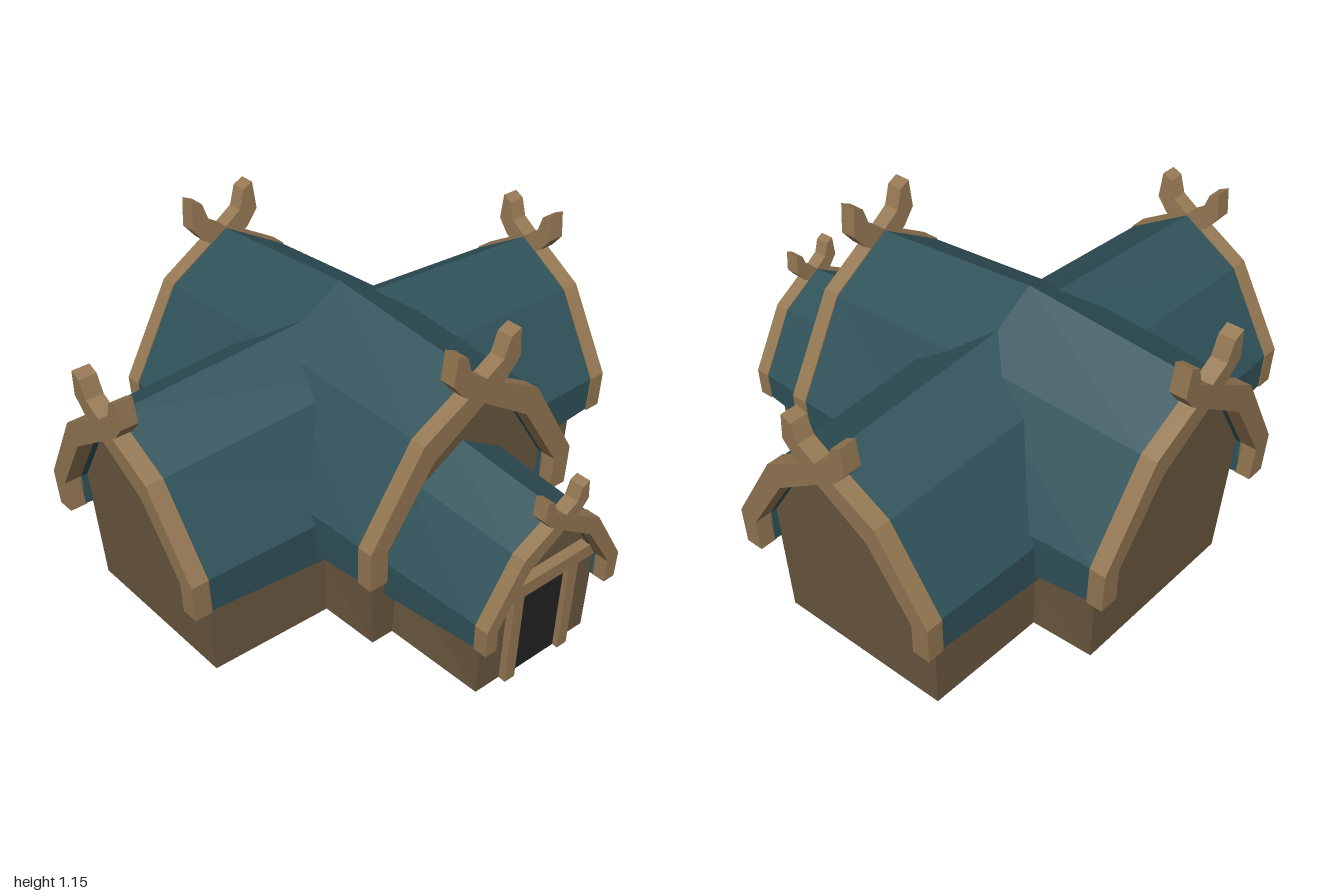
import * as THREE from 'three';

const mat = (name, color, extra = {}) => {
  const m = new THREE.MeshStandardMaterial({ color, ...extra });
  m.name = name;
  return m;
};

const LEAN = 0.055; // gable ends tip outward with height

// Half profiles, x outward and y above the eave, listed from eave to ridge
const ROOF_END = { outer: [[0.455, 0], [0.46, 0.15], [0.255, 0.49], [0, 0.64]], inner: [[0.385, 0], [0.39, 0.13], [0.21, 0.41], [0, 0.55]] };
const ROOF_MID = { outer: [[0.475, -0.06], [0.485, 0.155], [0.27, 0.53], [0, 0.695]], inner: [[0.4, -0.11], [0.405, 0.12], [0.225, 0.44], [0, 0.6]] };
// Curved gable board that crosses the ridge and ends in a horn
const BOARD = [
  [-0.137, 0.785], [-0.095, 0.765], [-0.07, 0.69], [0, 0.645], [0.257, 0.495], [0.465, 0.152], [0.46, -0.005],
  [0.385, -0.005], [0.39, 0.13], [0.21, 0.41], [0, 0.55], [-0.1, 0.617], [-0.148, 0.675],
];

const mirror = (half) => [...half, ...half.slice(0, -1).reverse().map(([x, y]) => [-x, y])];
const mix = (a, b, t) => a.map(([x, y], i) => [x + (b[i][0] - x) * t, y + (b[i][1] - y) * t]);
const roofRing = (p) => [...mirror(p.outer), ...mirror(p.inner).reverse()];

// Skin between two rings of [x, y, z], with an optional cap on the far one
function loft(a, b, cap) {
  const pos = [];
  const n = a.length;
  for (let i = 0; i < n; i++) {
    const j = (i + 1) % n;
    pos.push(...a[i], ...a[j], ...b[j], ...a[i], ...b[j], ...b[i]);
    if (cap && i > 0 && i < n - 1) pos.push(...b[0], ...b[i], ...b[i + 1]);
  }
  const g = new THREE.BufferGeometry();
  g.setAttribute('position', new THREE.Float32BufferAttribute(pos, 3));
  g.computeVertexNormals();
  return g;
}

export function createModel() {
  const roofMat = mat('teal roof', 0x30525a, { side: THREE.DoubleSide });
  const wallMat = mat('brown wall', 0x6b5840);
  const trimMat = mat('light timber', 0x957853);
  const doorMat = mat('dark door', 0x232323);

  const model = new THREE.Group();
  model.name = 'hall';
  const add = (parent, name, geo, material) => {
    const mesh = new THREE.Mesh(geo, material);
    mesh.name = name;
    parent.add(mesh);
    return mesh;
  };

  // One gabled arm running from its origin toward +z
  function arm(name, { s, base, length, thick, grow, wallHalf, wallEnd }) {
    const g = new THREE.Group();
    g.name = name;
    const lift = (pts) => pts.map(([x, y]) => [x * s, base + y * s]);
    const at = (pts, z, lean) => pts.map(([x, y]) => [x, y, z + lean * (y - base)]);

    // roof shell
    const mid = {
      outer: mix(ROOF_END.outer, ROOF_MID.outer, grow),
      inner: mix(ROOF_END.inner, ROOF_MID.inner, grow),
    };
    add(g, 'roof', loft(
      at(lift(roofRing(mid)), 0, 0),
      at(lift(roofRing(ROOF_END)), length - thick + 0.005, LEAN),
    ), roofMat);

    // walls with gable
    const upper = lift([[0.395, 0.14], [0.215, 0.42], [0, 0.565]]);
    add(g, 'walls', loft(
      at(mirror([[wallHalf * 1.06, 0], ...upper]), 0, 0),
      at(mirror([[wallHalf, 0], ...upper]), wallEnd, LEAN),
      true,
    ), wallMat);

    // crossed gable boards
    for (const side of [1, -1]) {
      const shape = new THREE.Shape(lift(BOARD).map(([x, y]) => new THREE.Vector2(x * side, y)));
      const geo = new THREE.ExtrudeGeometry(shape, { depth: thick, bevelEnabled: false });
      const p = geo.attributes.position;
      for (let i = 0; i < p.count; i++) {
        p.setZ(i, p.getZ(i) + length - thick + LEAN * (p.getY(i) - base));
      }
      geo.computeVertexNormals();
      add(g, side > 0 ? 'leftGableBoard' : 'rightGableBoard', geo, trimMat);
    }
    model.add(g);
    return g;
  }

  // main hall, front and back, and the two cross wings
  const CZ = -0.19;
  for (let i = 0; i < 4; i++) {
    const main = i % 2 === 0;
    const g = arm(['frontHall', 'leftWing', 'backHall', 'rightWing'][i], main
      ? { s: 1, base: 0.36, length: 0.695, thick: 0.062, grow: 1, wallHalf: 0.362, wallEnd: 0.612 }
      : { s: 0.9, base: 0.335, length: 0.957, thick: 0.066, grow: 1.15, wallHalf: 0.34, wallEnd: 0.865 });
    g.position.z = CZ;
    g.rotation.y = (i * Math.PI) / 2;
  }

  // entrance porch
  const porch = arm('porch', { s: 0.667, base: 0.25, length: 0.54, thick: 0.055, grow: 1.3, wallHalf: 0.258, wallEnd: 0.472 });
  porch.position.z = 0.35;

  // doorway, leaning with the porch wall
  const door = new THREE.Group();
  door.name = 'doorway';
  door.position.z = 0.808;
  door.rotation.x = LEAN;
  model.add(door);
  const box = (name, w, h, d, x, y, z, m) => add(door, name, new THREE.BoxGeometry(w, h, d), m).position.set(x, y, z);
  box('door', 0.21, 0.36, 0.008, 0, 0.18, 0.004, doorMat);
  for (const side of [1, -1]) box('doorPost', 0.045, 0.385, 0.04, side * 0.1275, 0.1925, 0.01, trimMat);
  box('doorHeader', 0.21, 0.025, 0.03, 0, 0.3725, 0.01, trimMat);
  const lintel = new THREE.Shape([[-0.215, 0.385], [0.215, 0.385], [0.185, 0.438], [-0.185, 0.438]].map(([x, y]) => new THREE.Vector2(x, y)));
  add(door, 'lintel', new THREE.ExtrudeGeometry(lintel, { depth: 0.05, bevelEnabled: false }), trimMat).position.z = -0.01;

  return model;
}
